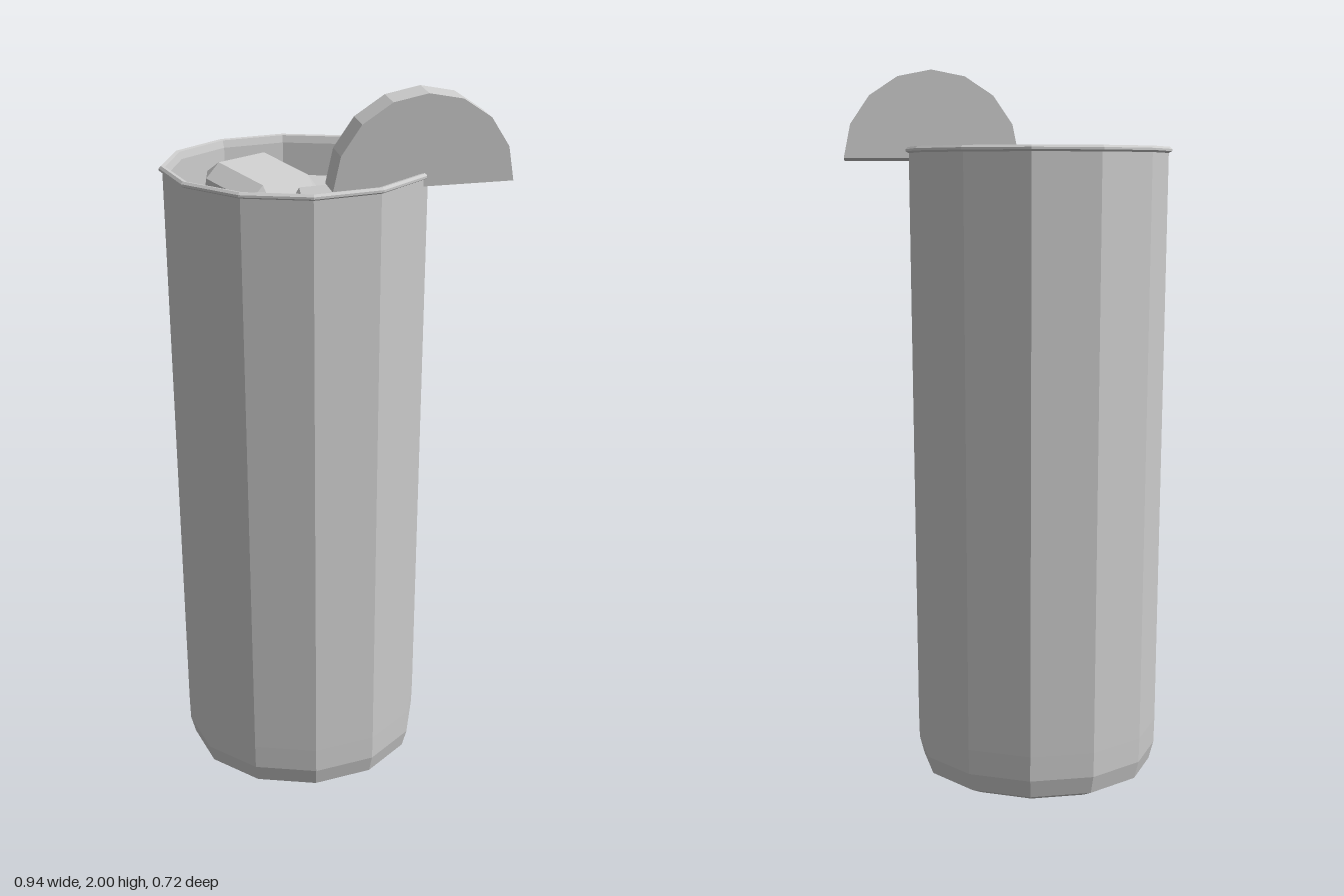
import * as THREE from 'three';
import { ConvexGeometry } from 'three/addons/geometries/ConvexGeometry.js';

const grey = new THREE.MeshStandardMaterial({ color: 0xcccccc });
grey.name = 'plain grey';

// Faceted mesh: every face gets its own normal
function part(name, geometry) {
  const g = geometry.index ? geometry.toNonIndexed() : geometry;
  g.computeVertexNormals();
  const mesh = new THREE.Mesh(g, grey);
  mesh.name = name;
  return mesh;
}

// Twelve-sided turned solid; radii are measured to the middle of each flat side
function turned(profile) {
  const toCorner = 1 / Math.cos(Math.PI / 12);
  const points = profile.map(([r, y]) => new THREE.Vector2(r * toCorner, y));
  return new THREE.LatheGeometry(points, 12, Math.PI / 12);
}

// Block with all edges and corners chamfered
function chamferedBlock(w, h, d, c) {
  const points = [];
  for (const x of [-1, 1]) for (const y of [-1, 1]) for (const z of [-1, 1]) {
    for (let axis = 0; axis < 3; axis++) {
      const inset = [c, c, c];
      inset[axis] = 0;
      points.push(new THREE.Vector3(
        x * (w / 2 - inset[0]), y * (h / 2 - inset[1]), z * (d / 2 - inset[2])));
    }
  }
  return new ConvexGeometry(points);
}

export function createModel() {
  const model = new THREE.Group();
  model.name = 'drink';

  // Glass and its contents share an axis left of the centre
  const drink = new THREE.Group();
  drink.name = 'filledGlass';
  drink.position.x = -0.112;
  model.add(drink);

  // Outer wall, lip, inner wall and inner floor in one profile
  drink.add(part('glass', turned([
    [0, 0], [0.278, 0], [0.318, 0.02], [0.331, 0.07], [0.333, 0.14],
    [0.349, 1.765], [0.358, 1.77], [0.358, 1.776], [0.352, 1.782],
    [0.341, 1.78], [0.335, 1.76], [0.33, 1.6], [0.315, 0.08], [0, 0.08],
  ])));

  // Liquid with a small bevel round its surface
  drink.add(part('liquid', turned([
    [0, 0.09], [0.31, 0.09], [0.328, 1.655], [0.32, 1.67], [0, 1.67],
  ])));

  // Floating ice
  const largeIce = part('largeIce', chamferedBlock(0.255, 0.24, 0.25, 0.04));
  largeIce.position.set(-0.225, 1.64, -0.03);
  largeIce.rotation.set(0, -0.64, -0.2);
  const smallIce = part('smallIce', chamferedBlock(0.2, 0.2, 0.215, 0.033));
  smallIce.position.set(-0.015, 1.625, 0.08);
  smallIce.rotation.set(-0.04, 0.19, 0.09);
  model.add(largeIce, smallIce);

  // Half-round fruit slice hooked on the rim
  const outline = new THREE.Shape();
  for (let i = 0; i <= 8; i++) {
    const a = (i / 8) * Math.PI;
    outline[i ? 'lineTo' : 'moveTo'](0.25 * Math.cos(a), 0.25 * Math.sin(a));
  }
  const sliceGeometry = new THREE.ExtrudeGeometry(outline, { depth: 0.076, bevelEnabled: false });
  sliceGeometry.translate(0, 0, -0.038);
  const slice = part('fruitSlice', sliceGeometry);
  slice.position.set(0.225, 1.749, 0.05);
  slice.rotation.set(0.1, 0.395, 0, 'YXZ');
  model.add(slice);

  return model;
}
